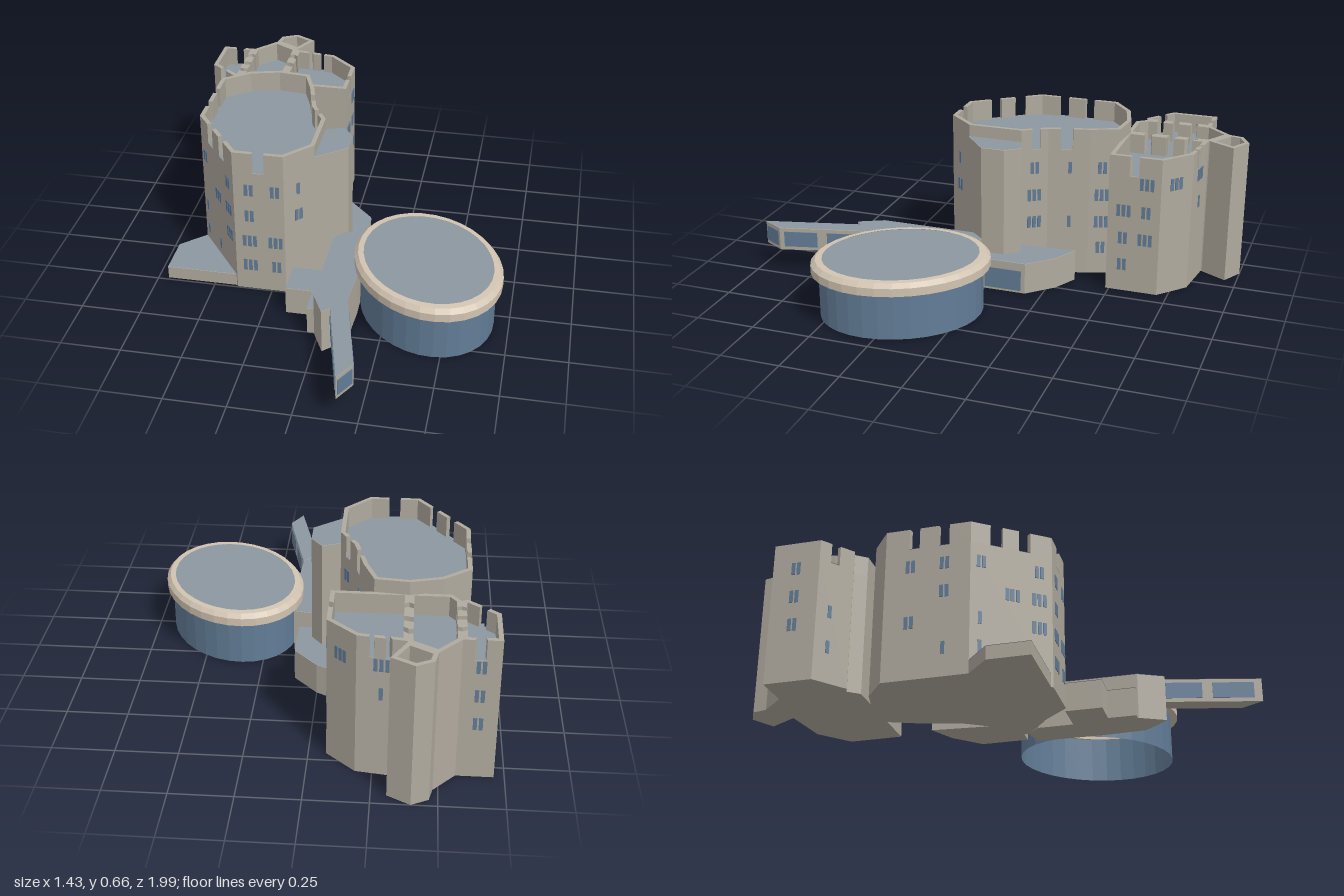
import * as THREE from 'three';

const mat = (name, color, side = THREE.FrontSide) =>
  Object.assign(new THREE.MeshStandardMaterial({ color, side, flatShading: true }), { name });
const stone = mat('stone', 0xb0aa9e);
const slate = mat('slate', 0x8c979f, THREE.DoubleSide);
const glass = mat('glass', 0x627c96, THREE.DoubleSide);
const trim = mat('trim', 0xd2c4b2, THREE.DoubleSide);

function mesh(parent, name, geometry, material) {
  const m = new THREE.Mesh(geometry, material);
  m.name = name;
  parent.add(m);
  return m;
}

const shapeOf = (pts) => new THREE.Shape(pts.map(([x, z]) => new THREE.Vector2(x, -z)));
const lerp = (a, b, t) => [a[0] + (b[0] - a[0]) * t, a[1] + (b[1] - a[1]) * t];

// Upright prism over a plan outline given as [x, z]
function prism(parent, name, pts, y0, y1) {
  const g = new THREE.ExtrudeGeometry(shapeOf(pts), { depth: y1 - y0, bevelEnabled: false });
  g.rotateX(-Math.PI / 2).translate(0, y0, 0);
  return mesh(parent, name, g, stone);
}

// Slate sheet lying on top of a prism
function roof(parent, pts, y) {
  const g = new THREE.ShapeGeometry(shapeOf(pts));
  g.rotateX(-Math.PI / 2).translate(0, y + 0.002, 0);
  mesh(parent, 'roof', g, slate);
}

// Outline moved inward by d with mitred corners
function inset(pts, d) {
  const n = pts.length;
  let area = 0;
  pts.forEach((p, i) => { const q = pts[(i + 1) % n]; area += p[0] * q[1] - q[0] * p[1]; });
  const s = Math.sign(area);
  const normal = (a, b) => {
    const dx = b[0] - a[0], dz = b[1] - a[1], l = Math.hypot(dx, dz);
    return [-dz / l * s, dx / l * s];
  };
  return pts.map((p, i) => {
    const u = normal(pts[(i + n - 1) % n], p), v = normal(p, pts[(i + 1) % n]);
    const k = d / (1 + u[0] * v[0] + u[1] * v[1]);
    return [p[0] + (u[0] + v[0]) * k, p[1] + (u[1] + v[1]) * k];
  });
}

// Thin pane centred at fraction t of the wall from a to b
function pane(parent, a, b, t, y, w, h, shift = 0) {
  const dx = b[0] - a[0], dz = b[1] - a[1], l = Math.hypot(dx, dz);
  const m = mesh(parent, 'window', new THREE.BoxGeometry(w, h, 0.006), glass);
  const p = lerp(a, b, t + shift / l);
  m.position.set(p[0], y, p[1]);
  m.rotation.y = -Math.atan2(dz, dx);
}

const ROWS = [0.485, 0.362, 0.24, 0.12, 0.3, 0.15];

// Battlemented tower: notches are [from, to] per wall, windows are [wall, t, row, count]
function tower(parent, name, pts, deck, top, notches = {}, windows = []) {
  const g = new THREE.Group();
  g.name = name;
  parent.add(g);
  prism(g, 'walls', pts, 0, deck);
  roof(g, pts, deck);
  const inner = inset(pts, 0.018);
  pts.forEach((a, i) => {
    const j = (i + 1) % pts.length;
    let start = 0;
    for (const [from, to] of [...(notches[i] || []), [1, 1]]) {
      prism(g, 'parapet', [lerp(a, pts[j], start), lerp(a, pts[j], from),
        lerp(inner[i], inner[j], from), lerp(inner[i], inner[j], start)], deck, top);
      start = to;
    }
  });
  for (const [e, t, row, count] of windows)
    for (let k = 0; k < count; k++)
      pane(g, pts[e], pts[(e + 1) % pts.length], t, ROWS[row], 0.015, 0.052, (k - (count - 1) / 2) * 0.022);
}

// Plain flat-roofed block
function block(parent, name, pts, y0, y1) {
  const g = new THREE.Group();
  g.name = name;
  parent.add(g);
  prism(g, 'walls', pts, y0, y1);
  roof(g, pts, y1);
  return g;
}

export function createModel() {
  const model = new THREE.Group();
  model.name = 'castle';

  // Great tower
  tower(model, 'greatTower', [[-0.37, -0.5], [-0.235, -0.485], [-0.19, -0.37], [-0.145, -0.2], [-0.085, -0.1],
    [-0.085, 0.13], [-0.19, 0.245], [-0.4, 0.245], [-0.607, -0.03], [-0.607, -0.38], [-0.5, -0.465]], 0.565, 0.655,
  { 2: [[0.41, 0.7]], 3: [[0.3, 0.6]], 6: [[0.38, 0.62]], 7: [[0.27, 0.41], [0.61, 0.76]], 8: [[0.25, 0.37], [0.6, 0.72]] },
  [[5, 0.54, 0, 1], [5, 0.54, 1, 2],
    [6, 0.7, 0, 2], [6, 0.18, 0, 2], [6, 0.7, 1, 2], [6, 0.71, 2, 3], [6, 0.19, 2, 3], [6, 0.71, 3, 3], [6, 0.18, 3, 2],
    [7, 0.87, 0, 2], [7, 0.16, 0, 2], [7, 0.49, 1, 3], [7, 0.16, 1, 3], [7, 0.88, 2, 1], [7, 0.16, 2, 3],
    [7, 0.88, 3, 1], [7, 0.49, 3, 1],
    [8, 0.3, 0, 2], [8, 0.7, 0, 2], [8, 0.3, 1, 2], [8, 0.7, 2, 2], [8, 0.3, 3, 1],
    [3, 0.5, 0, 2], [3, 0.5, 1, 3], [3, 0.5, 2, 3], [2, 0.47, 0, 1], [2, 0.47, 2, 1],
    [1, 0.56, 0, 2], [1, 0.56, 1, 3], [1, 0.56, 2, 3], [1, 0.56, 3, 2]]);

  // Rear towers
  tower(model, 'rearCentreTower', [[-0.48, -0.905], [-0.37, -0.84], [-0.37, -0.485], [-0.53, -0.485],
    [-0.565, -0.53], [-0.565, -0.81]], 0.515, 0.6,
  { 1: [[0.15, 0.25], [0.4, 0.5], [0.7, 0.8]], 4: [[0.15, 0.25], [0.4, 0.5], [0.7, 0.8]] });
  tower(model, 'rearRightTower', [[-0.71, -0.81], [-0.565, -0.81], [-0.565, -0.53], [-0.59, -0.52],
    [-0.71, -0.615]], 0.515, 0.6,
  { 0: [[0.4, 0.7]], 1: [[0.2, 0.3], [0.5, 0.6], [0.75, 0.85]], 3: [[0.42, 0.67]] },
  [[3, 0.62, 4, 1], [3, 0.62, 5, 1], [4, 0.5, 0, 2], [4, 0.5, 1, 2], [4, 0.5, 2, 2],
    [0, 0.5, 0, 2], [0, 0.5, 1, 2], [0, 0.5, 2, 2]]);
  tower(model, 'rearLeftTower', [[-0.37, -0.835], [-0.185, -0.81], [-0.07, -0.705], [-0.07, -0.485],
    [-0.37, -0.485]], 0.515, 0.6,
  { 0: [[0.3, 0.42], [0.65, 0.75]], 2: [[0.43, 0.61]], 4: [[0.2, 0.3], [0.5, 0.6], [0.75, 0.85]] },
  [[2, 0.27, 0, 3], [2, 0.27, 1, 2], [2, 0.27, 2, 3], [2, 0.7, 1, 3], [2, 0.7, 2, 2], [2, 0.7, 3, 2],
    [1, 0.52, 0, 3], [0, 0.5, 0, 3], [0, 0.5, 1, 1]]);
  tower(model, 'rearTurret', [[-0.4, -1], [-0.31, -0.95], [-0.37, -0.84], [-0.48, -0.905], [-0.467, -0.965]], 0.515, 0.6);

  // Stair tower and low wings
  block(model, 'stairTower', [[-0.085, -0.1], [-0.01, -0.125], [0.037, -0.065], [0.037, 0.035], [-0.085, 0.135]], 0, 0.603);
  block(model, 'frontTerrace', [[-0.607, -0.03], [-0.4, 0.237], [-0.707, 0.237], [-0.707, 0.065]], 0, 0.055);
  const wing = block(model, 'sideWing', [[-0.105, -0.34], [0, -0.285], [0.1, -0.18], [0.1, 0.015], [0.035, 0.015],
    [0.035, -0.065], [-0.01, -0.125], [-0.085, -0.1]], 0, 0.135);
  pane(wing, [0.1, -0.18], [0.1, 0.015], 0.5, 0.055, 0.16, 0.09);
  block(model, 'entranceHall', [[0.035, 0.035], [0.125, 0.05], [0.13, 0.34], [0.122, 0.51], [0.065, 0.58],
    [0.035, 0.61], [-0.017, 0.505], [-0.017, 0.09]], 0, 0.193);
  block(model, 'porch', [[-0.16, 0.235], [-0.017, 0.235], [-0.017, 0.5], [-0.047, 0.5], [-0.047, 0.385],
    [-0.16, 0.385]], 0, 0.12);

  // Raised glazed walkway
  const a = [0.122, 0.51], b = [0.215, 0.9], c = [0.165, 0.99], d = [0.065, 0.58];
  const walk = block(model, 'walkway', [a, b, c, d], 0.095, 0.195);
  pane(walk, a, b, 0.32, 0.145, 0.13, 0.068);
  pane(walk, a, b, 0.77, 0.145, 0.145, 0.068);
  pane(walk, b, c, 0.5, 0.145, 0.085, 0.068);
  pane(walk, d, c, 0.24, 0.145, 0.15, 0.068);
  pane(walk, d, c, 0.72, 0.145, 0.17, 0.068);

  // Oval glass pavilion
  const oval = new THREE.Group();
  oval.name = 'pavilion';
  oval.position.set(0.405, 0, 0.247);
  oval.rotation.y = Math.PI / 6;
  oval.scale.set(0.29, 1, 0.365);
  model.add(oval);
  mesh(oval, 'glassWall', new THREE.CylinderGeometry(0.915, 0.915, 0.2, 32, 1, true).translate(0, 0.1, 0), glass);
  const rim = [[0.88, 0.196], [1, 0.196], [1, 0.23], [0.95, 0.248], [0.875, 0.25]].map((p) => new THREE.Vector2(...p));
  mesh(oval, 'roofRim', new THREE.LatheGeometry(rim, 32), trim);
  mesh(oval, 'roof', new THREE.CircleGeometry(0.875, 32).rotateX(-Math.PI / 2).translate(0, 0.249, 0), slate);

  return model;
}
